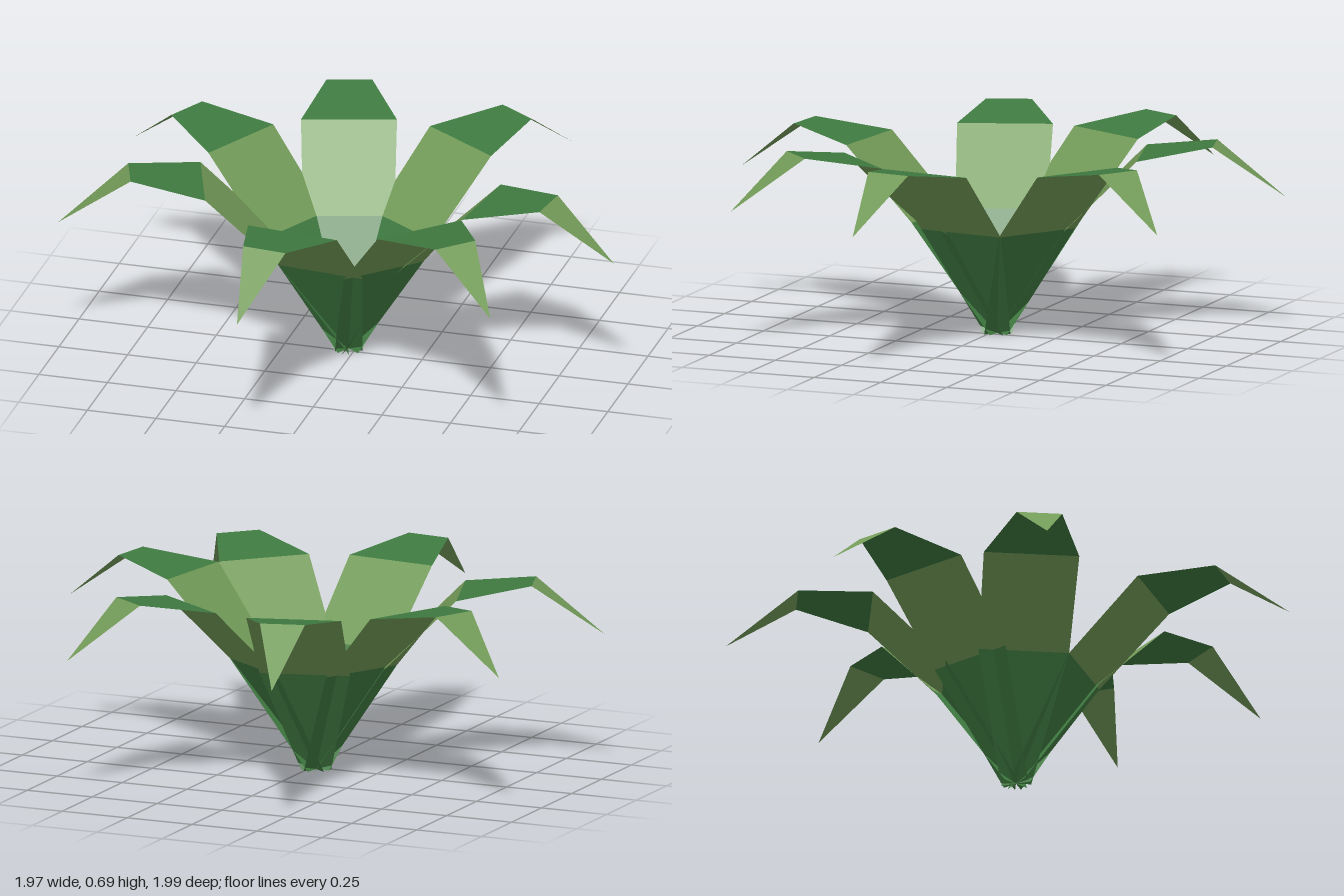
import * as THREE from 'three';

// Cross-sections along a leaf: [distance from centre, height, half-width]
const SECTIONS = [
  [0, 0, 0.054],
  [0.253, 0.395, 0.16],
  [0.509, 0.65, 0.168],
  [0.766, 0.69, 0.08],
  [1.016, 0.505, 0],
];
// Heading of each leaf in degrees, from +x towards +z
const HEADINGS = [7.5, 44.4, 96.2, 160.8, 206.2, 254, 304.2];

// Flat bands between consecutive sections; the last one tapers to a point
function bands(indices) {
  const pos = [];
  for (const i of indices) {
    const [r0, y0, w0] = SECTIONS[i];
    const [r1, y1, w1] = SECTIONS[i + 1];
    pos.push(r0, y0, -w0, r0, y0, w0, r1, y1, w1);
    if (w1 > 0) pos.push(r0, y0, -w0, r1, y1, w1, r1, y1, -w1);
  }
  const geo = new THREE.BufferGeometry();
  geo.setAttribute('position', new THREE.Float32BufferAttribute(pos, 3));
  geo.computeVertexNormals();
  return geo;
}

function leafMaterial(color) {
  return new THREE.MeshStandardMaterial({ color, flatShading: true, side: THREE.DoubleSide });
}

export function createModel() {
  const plant = new THREE.Group();
  plant.name = 'plant';

  const darkGeo = bands([0, 2]);
  const lightGeo = bands([1, 3]);
  const darkGreen = leafMaterial(0x3f7a40);
  const lightGreen = leafMaterial(0x729a58);

  // Rosette of identical leaves around a slightly offset centre
  const rosette = new THREE.Group();
  rosette.name = 'rosette';
  rosette.position.set(-0.025, 0, -0.02);
  plant.add(rosette);

  for (const heading of HEADINGS) {
    const leaf = new THREE.Group();
    leaf.name = 'leaf';
    const dark = new THREE.Mesh(darkGeo, darkGreen);
    dark.name = 'leafDarkBands';
    const light = new THREE.Mesh(lightGeo, lightGreen);
    light.name = 'leafLightBands';
    leaf.add(dark, light);
    leaf.rotation.y = -THREE.MathUtils.degToRad(heading);
    rosette.add(leaf);
  }
  return plant;
}
